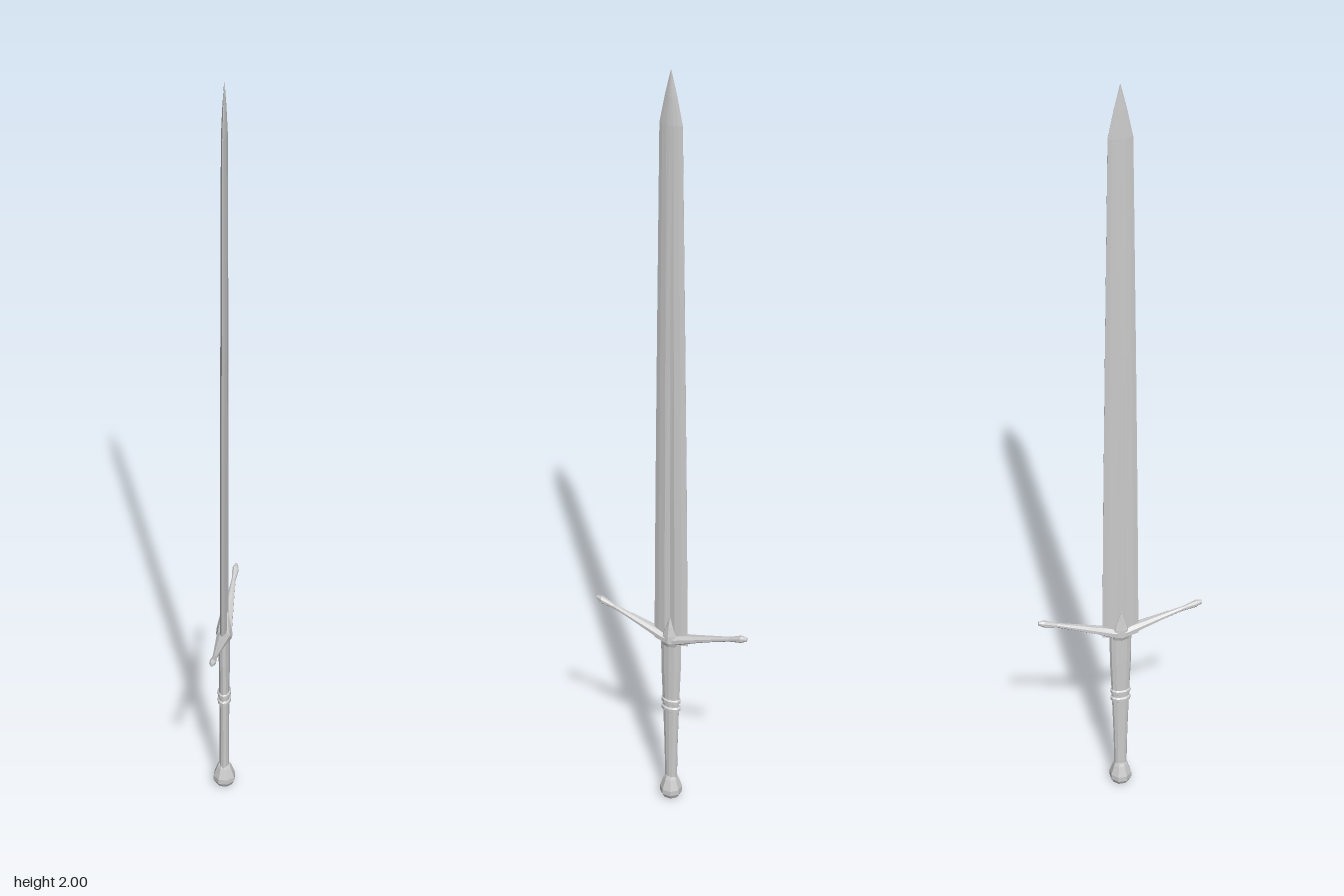
import * as THREE from 'three';

const material = new THREE.MeshStandardMaterial({ color: 0xcccccc, flatShading: true });

// Skins a list of equal-length rings of [x, y, z] and closes both ends.
function loft(name, rings) {
  const n = rings[0].length, pos = [], index = [];
  rings.forEach(r => r.forEach(p => pos.push(...p)));
  for (let i = 0; i < rings.length - 1; i++) {
    for (let j = 0; j < n; j++) {
      const a = i * n + j, b = i * n + (j + 1) % n;
      index.push(a, b, b + n, a, b + n, a + n);
    }
  }
  [0, rings.length - 1].forEach((k, end) => {
    const c = pos.length / 3;
    for (let d = 0; d < 3; d++) pos.push(rings[k].reduce((s, p) => s + p[d], 0) / n);
    for (let j = 0; j < n; j++) {
      const a = k * n + j, b = k * n + (j + 1) % n;
      index.push(...(end ? [a, b, c] : [b, a, c]));
    }
  });
  const g = new THREE.BufferGeometry();
  g.setAttribute('position', new THREE.Float32BufferAttribute(pos, 3));
  g.setIndex(index);
  g.computeVertexNormals();
  const mesh = new THREE.Mesh(g, material);
  mesh.name = name;
  return mesh;
}

// Horizontal elliptical ring at height y.
function ovalRing(y, rx, rz, sides, turn = 0) {
  return Array.from({ length: sides }, (_, j) => {
    const a = (j + turn) / sides * Math.PI * 2;
    return [rx * Math.cos(a), y, -rz * Math.sin(a)];
  });
}

// Blade section: sharp edges at +-w, ridges at +-0.3w, centre depth m for the fuller.
function bladeRing(y, w, t, m) {
  return [[m, 0], [t, -0.3], [t * 0.6, -0.7], [0.0005, -1], [-0.0005, -1], [-t * 0.6, -0.7], [-t, -0.3],
    [-m, 0], [-t, 0.3], [-t * 0.6, 0.7], [-0.0005, 1], [0.0005, 1], [t * 0.6, 0.7], [t, 0.3]]
    .map(([x, z]) => [x, y, z * w]);
}

export function createModel() {
  const sword = new THREE.Group();
  sword.name = 'sword';

  // Tapering blade with a shallow fuller that fades towards the tip
  sword.add(loft('blade', [
    [0.48, 0.046, 0.009, 0.006], [0.9, 0.042, 0.0085, 0.006], [1.3, 0.037, 0.008, 0.007],
    [1.87, 0.029, 0.0065, 0.007], [1.94, 0.015, 0.004, 0.0045], [2.0, 0.0005, 0.0005, 0.0005],
  ].map(s => bladeRing(...s))));

  // Grip, wide under the guard and narrow at the pommel
  sword.add(loft('grip', [
    [0.05, 0.012, 0.016], [0.16, 0.012, 0.018], [0.28, 0.013, 0.022], [0.4, 0.014, 0.027], [0.495, 0.014, 0.028],
  ].map(([y, rx, rz]) => ovalRing(y, rx, rz, 12))));

  // Two raised bands around the middle of the grip
  for (const y of [0.28, 0.303]) {
    sword.add(loft('gripBand', [
      [-0.008, 0.012, 0.021], [-0.004, 0.017, 0.026], [0.004, 0.017, 0.026], [0.008, 0.012, 0.022],
    ].map(([dy, rx, rz]) => ovalRing(y + dy, rx, rz, 12))));
  }

  // Faceted pommel
  sword.add(loft('pommel', [
    [0, 0.014], [0.006, 0.022], [0.018, 0.0285], [0.032, 0.0285], [0.06, 0.019], [0.068, 0.015],
  ].map(([y, r]) => ovalRing(y, r, r, 8, 0.5))));

  // Crossguard: both arms sweep up and swell near their ends. Rows: z, mid y, half x, half y
  const arm = [[0.018, 0.492, 0.0165, 0.014], [0.06, 0.506, 0.013, 0.01], [0.11, 0.522, 0.009, 0.0075],
    [0.16, 0.537, 0.005, 0.006], [0.176, 0.542, 0.0065, 0.0075], [0.192, 0.547, 0.008, 0.009], [0.207, 0.55, 0.0035, 0.005]];
  const guardRows = [
    ...arm.map(([z, ...rest]) => [-z, ...rest]).reverse(),
    [0, 0.49, 0.018, 0.015],
    ...arm,
  ];
  sword.add(loft('crossguard', guardRows.map(([z, y, w, h]) =>
    Array.from({ length: 8 }, (_, j) => {
      const a = (j + 0.5) / 8 * Math.PI * 2, k = 1 / Math.cos(Math.PI / 8);
      return [w * k * Math.cos(a), y + h * k * Math.sin(a), z];
    }))));

  // Pointed centre block rising over the blade faces
  sword.add(loft('langet', [
    [0.474, 0.017, 0.024], [0.485, 0.021, 0.026], [0.505, 0.019, 0.022], [0.53, 0.014, 0.012], [0.555, 0.009, 0.002],
  ].map(([y, rx, rz]) => ovalRing(y, rx, rz, 8))));

  return sword;
}
